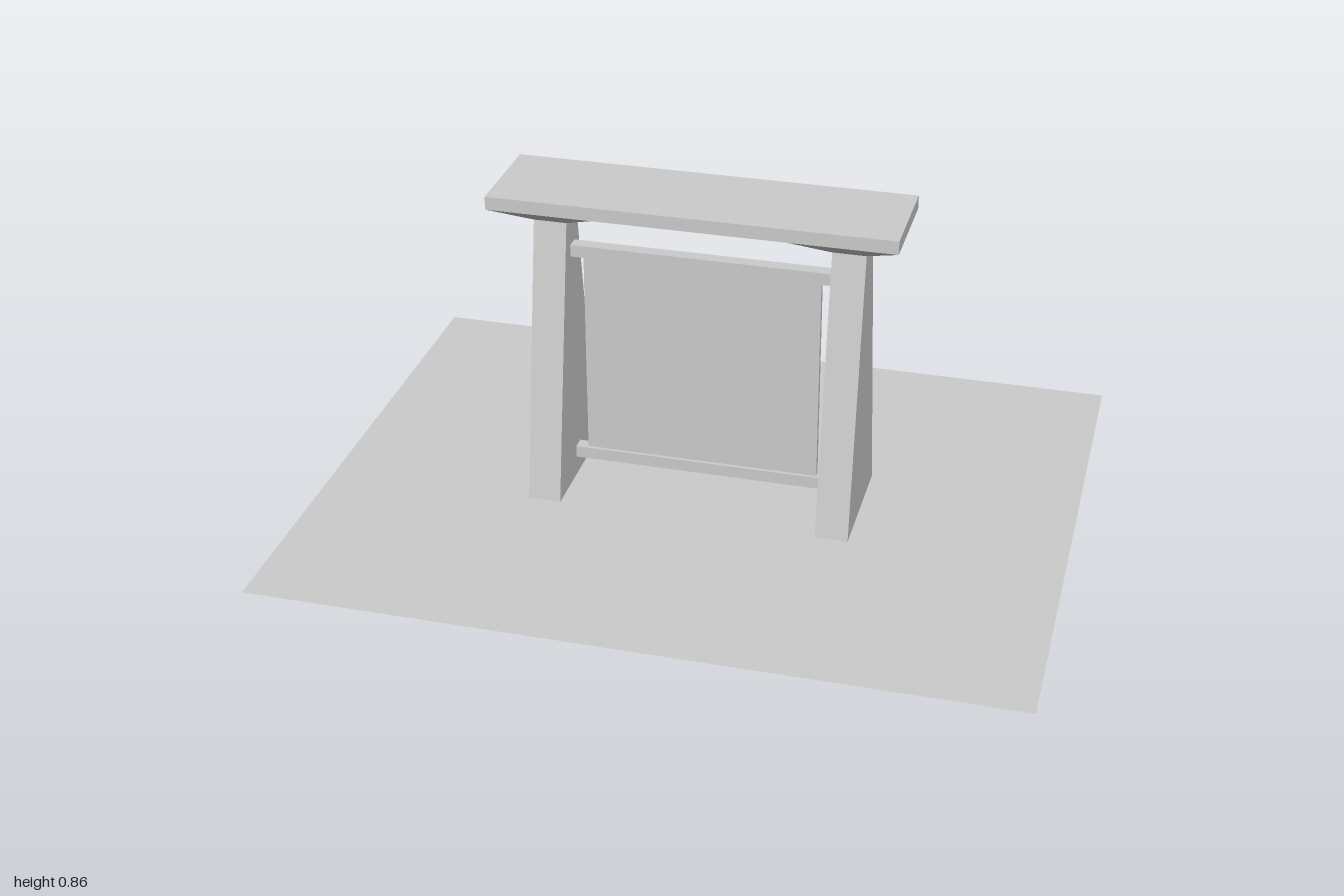
import * as THREE from 'three';

const material = new THREE.MeshStandardMaterial({ color: 0xcccccc, flatShading: true, side: THREE.DoubleSide });

function addMesh(parent, name, geometry, x = 0, y = 0, z = 0) {
  const mesh = new THREE.Mesh(geometry, material);
  mesh.name = name;
  mesh.position.set(x, y, z);
  parent.add(mesh);
  return mesh;
}

// Open four-sided tapered tube between two rectangles, each {y, w, d}
function taperedTube(bottom, top) {
  const geo = new THREE.BoxGeometry(1, 1, 1);
  const pos = geo.attributes.position;
  for (let i = 0; i < pos.count; i++) {
    const r = pos.getY(i) > 0 ? top : bottom;
    pos.setXYZ(i, pos.getX(i) * r.w, r.y, pos.getZ(i) * r.d);
  }
  // drop the top and bottom faces (box face order: +x -x +y -y +z -z)
  const index = Array.from(geo.index.array);
  index.splice(12, 12);
  geo.setIndex(index);
  geo.clearGroups();
  geo.computeVertexNormals();
  return geo;
}

export function createModel() {
  const model = new THREE.Group();
  model.name = 'standingTable';

  const legX = 0.393, legW = 0.088, footD = 0.343, neckD = 0.088;
  const neckY = 0.768, topY = 0.828, topW = 1.066, topD = 0.282;
  const table = new THREE.Group();
  table.name = 'table';
  table.position.x = -0.004;
  model.add(table);

  // Ground sheet with an opening under each hollow leg
  const sheet = new THREE.Shape([
    new THREE.Vector2(-1, -0.78), new THREE.Vector2(1, -0.78),
    new THREE.Vector2(1, 0.78), new THREE.Vector2(-1, 0.78),
  ]);
  for (const side of [-1, 1]) {
    const cx = side * legX - 0.004, w = legW / 2, d = footD / 2;
    sheet.holes.push(new THREE.Path([
      new THREE.Vector2(cx - w, -d), new THREE.Vector2(cx - w, d),
      new THREE.Vector2(cx + w, d), new THREE.Vector2(cx + w, -d),
    ]));
  }
  addMesh(model, 'ground', new THREE.ShapeGeometry(sheet).rotateX(-Math.PI / 2));

  // Tapered legs and the flared brackets that carry the top
  for (const [side, label] of [[1, 'left'], [-1, 'right']]) {
    addMesh(table, label + 'Leg', taperedTube(
      { y: 0, w: legW, d: footD }, { y: neckY, w: legW, d: neckD }), side * legX);
    addMesh(table, label + 'Bracket', taperedTube(
      { y: neckY, w: legW, d: neckD }, { y: topY, w: 0.278, d: topD }), side * legX);
  }

  // Top slab
  addMesh(table, 'tableTop', new THREE.BoxGeometry(topW, 0.036, topD), 0, topY + 0.018, 0);

  // Rails reach just into the legs and hold the panel
  for (const [name, y] of [['upperRail', 0.677], ['lowerRail', 0.07]]) {
    addMesh(table, name, new THREE.BoxGeometry(0.72, 0.033, 0.036), 0, y, 0);
  }
  addMesh(table, 'panel', new THREE.BoxGeometry(0.634, 0.576, 0.016), 0, 0.3735, 0);

  return model;
}
